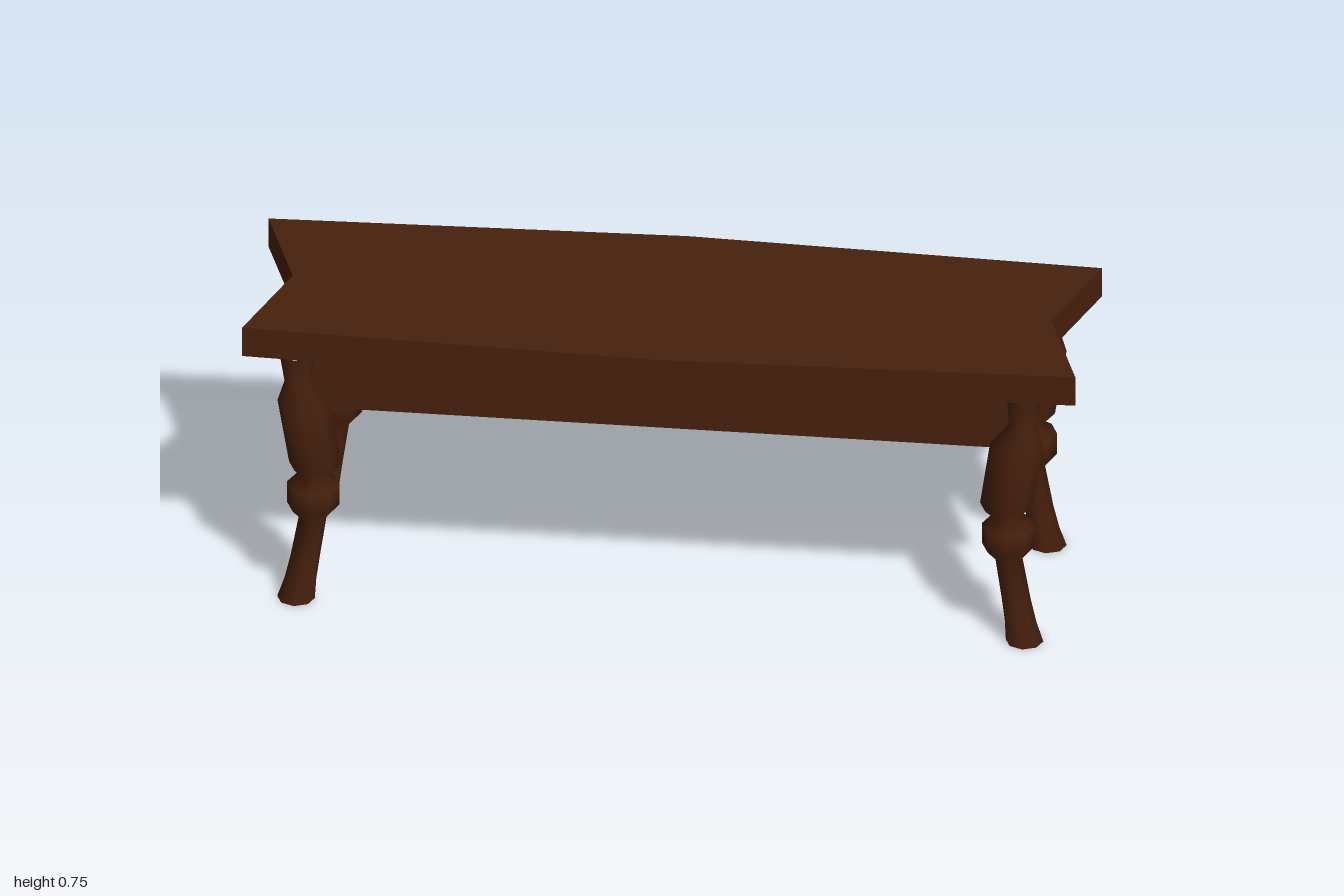
import * as THREE from 'three';

// Leg sections, foot to top: y, radius, centre x, centre z
const LEG = [
  [0, 0.045, 0.874, 0.233],
  [0.05, 0.038, 0.864, 0.229],
  [0.11, 0.035, 0.853, 0.226],
  [0.22, 0.033, 0.835, 0.224],
  [0.255, 0.063, 0.834, 0.224],
  [0.31, 0.063, 0.834, 0.224],
  [0.335, 0.032, 0.830, 0.222],
  [0.365, 0.063, 0.829, 0.223],
  [0.535, 0.064, 0.855, 0.229],
  [0.59, 0.033, 0.869, 0.231],
  [0.67, 0.042, 0.873, 0.231],
];
const SIDES = 8;

// Turned leg: a lathe whose rings are shifted to follow the bent centre line
function makeLeg(sx, sz, material) {
  const leg = new THREE.Group();
  const geo = new THREE.LatheGeometry(LEG.map(([y, r]) => new THREE.Vector2(r, y)), SIDES);
  const pos = geo.attributes.position;
  for (let i = 0; i < pos.count; i++) {
    const [, , cx, cz] = LEG[i % LEG.length];
    pos.setX(i, pos.getX(i) + sx * cx);
    pos.setZ(i, pos.getZ(i) + sz * cz);
  }
  const post = new THREE.Mesh(geo, material);
  post.name = 'turnedPost';

  const [y, r, cx, cz] = LEG[0];
  const sole = new THREE.Mesh(new THREE.CircleGeometry(r, SIDES).rotateX(Math.PI / 2), material);
  sole.position.set(sx * cx, y, sz * cz);
  sole.name = 'footSole';
  leg.add(post, sole);
  leg.name = `${sz > 0 ? 'front' : 'back'}${sx > 0 ? 'Left' : 'Right'}Leg`;
  return leg;
}

export function createModel() {
  const model = new THREE.Group();
  model.name = 'bench';
  const wood = new THREE.MeshStandardMaterial({ color: 0x47200d });
  wood.name = 'darkBrownWood';

  // Seat slab: bowed long sides, notched ends
  const outline = new THREE.Shape([
    [-1, -0.265], [0, -0.3], [1, -0.265], [0.91, 0],
    [1, 0.265], [0, 0.3], [-1, 0.265], [-0.91, 0],
  ].map(([x, z]) => new THREE.Vector2(x, z)));
  const slab = new THREE.ExtrudeGeometry(outline, { depth: 0.077, bevelEnabled: false });
  const seat = new THREE.Mesh(slab.rotateX(Math.PI / 2), wood);
  seat.position.y = 0.747;
  seat.name = 'seat';
  model.add(seat);

  // Apron: four thin boards around a panel, open below, just under the seat
  const X = 0.855, Z = 0.223, T = 0.012, TOP = 0.668, H = 0.15, PANEL = 0.046;
  for (const s of [1, -1]) {
    const rail = new THREE.Mesh(new THREE.BoxGeometry(2 * X, H, T), wood);
    rail.position.set(0, TOP - H / 2, s * (Z - T / 2));
    rail.name = s > 0 ? 'frontApron' : 'backApron';
    const end = new THREE.Mesh(new THREE.BoxGeometry(T, H, 2 * (Z - T)), wood);
    end.position.set(s * (X - T / 2), TOP - H / 2, 0);
    end.name = s > 0 ? 'leftApron' : 'rightApron';
    model.add(rail, end);
  }
  const panel = new THREE.Mesh(new THREE.BoxGeometry(2 * (X - T), PANEL, 2 * (Z - T)), wood);
  panel.position.y = TOP - PANEL / 2;
  panel.name = 'apronPanel';
  model.add(panel);

  // Legs at the four corners
  for (const sx of [1, -1]) {
    for (const sz of [1, -1]) model.add(makeLeg(sx, sz, wood));
  }
  return model;
}
